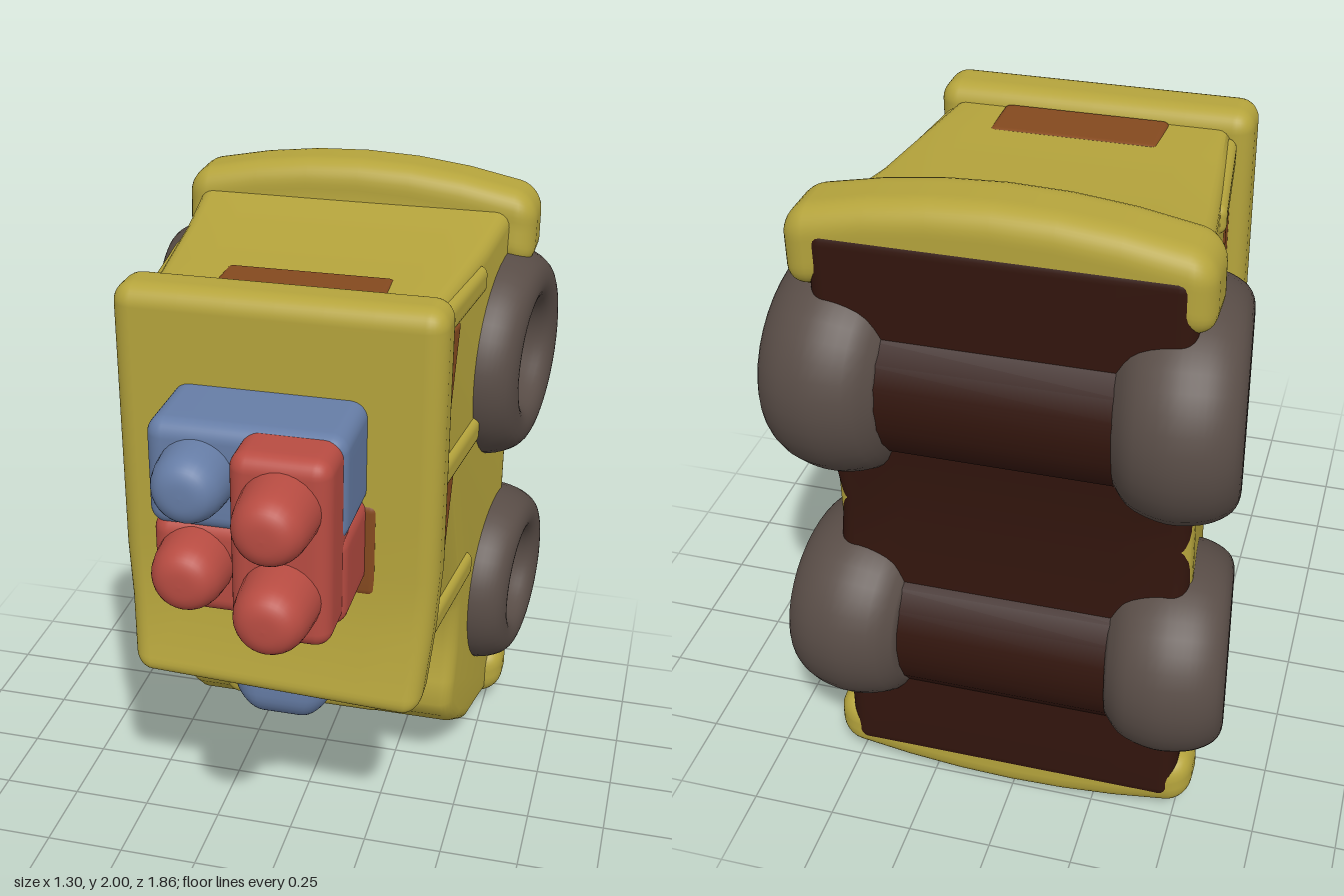
import * as THREE from 'three';
import { mergeVertices, toCreasedNormals } from 'three/addons/utils/BufferGeometryUtils.js';

const paint = (color) => new THREE.MeshStandardMaterial({ color });
const yellow = paint(0xb5a43c), rubber = paint(0x584c46), hubDark = paint(0x453533);
const brown = paint(0x32150d), rust = paint(0x84491f), red = paint(0xb84c42), blue = paint(0x667da6);

// Moves every vertex by a rule, then rebuilds smooth normals
function reshape(geo, rule) {
  geo.deleteAttribute('uv');
  geo.deleteAttribute('normal');
  const pos = geo.attributes.position, v = new THREE.Vector3();
  for (let i = 0; i < pos.count; i++) {
    v.fromBufferAttribute(pos, i);
    rule(v);
    pos.setXYZ(i, v.x, v.y, v.z);
  }
  const merged = mergeVertices(geo, 1e-4);
  merged.computeVertexNormals();
  return merged;
}

// Soft-edged box given by its limits, with an optional bend.
// Of 14 grid rows, 6 cover the flat middle and 4 each rounded edge.
function softBox([x0, x1], [y0, y1], [z0, z1], r, bend = () => {}) {
  const inner = new THREE.Vector3(x1 - x0, y1 - y0, z1 - z0).multiplyScalar(0.5).subScalar(r);
  const centre = new THREE.Vector3(x0 + x1, y0 + y1, z0 + z1).multiplyScalar(0.5);
  const flat = new THREE.Vector3(), edge = new THREE.Vector3();
  return reshape(new THREE.BoxGeometry(14, 14, 14, 14, 14, 14), (v) => {
    flat.copy(v).clampScalar(-3, 3);
    edge.subVectors(v, flat).setLength(r);
    v.copy(flat).divideScalar(3).multiply(inner).add(edge).add(centre);
    bend(v);
  });
}

// Half width of the body at depth z
const halfWidth = (z) => THREE.MathUtils.mapLinear(z, 0.2, -0.7, 0.42, 0.52);

// Body: side profile in (z, y), extruded across and widened towards the wheels
function bodyGeometry() {
  const profile = [
    [0.24, 1.83], [0.0, 1.84], [-0.3, 1.85], [-0.54, 1.88], [-0.7, 1.9], [-0.7, 0.05],
    [-0.58, 0.06], [-0.48, 0.08], [-0.35, 0.1], [-0.22, 0.18], [-0.13, 0.26], [-0.1, 0.32],
    [-0.12, 0.4], [-0.14, 0.5], [-0.14, 0.66], [-0.1, 0.75], [0.0, 0.79], [0.24, 0.8],
  ].map((p) => new THREE.Vector2(...p));
  const geo = new THREE.ExtrudeGeometry(new THREE.Shape(profile), {
    depth: 1.82, bevelThickness: 0.09, bevelSize: 0.045, bevelOffset: -0.045, bevelSegments: 5, steps: 8,
  });
  geo.translate(0, 0, -0.91).rotateY(-Math.PI / 2);
  return toCreasedNormals(reshape(geo, (v) => { v.x *= halfWidth(v.z); }), 0.9);
}

// Tyre with a dished hub, axis along +x
function wheelGeometry(r) {
  const pts = [
    [r * 0.72, -0.18], [r * 0.9, -0.13], [r, -0.04], [r, 0.04], [r * 0.95, 0.1],
    [r * 0.85, 0.145], [r * 0.7, 0.16], [r * 0.56, 0.145], [r * 0.46, 0.1], [r * 0.36, 0.06],
  ].map((p) => new THREE.Vector2(...p));
  const curve = new THREE.SplineCurve(pts).getPoints(30);
  return new THREE.LatheGeometry([new THREE.Vector2(0, -0.18), ...curve], 40).rotateZ(-Math.PI / 2);
}

export function createModel() {
  const model = new THREE.Group();
  const add = (name, geo, mat, parent = model) => {
    const mesh = new THREE.Mesh(geo, mat);
    mesh.name = name;
    parent.add(mesh);
    return mesh;
  };

  add('body', bodyGeometry(), yellow);

  // Roof slab, its lower end leaning forward
  add('roof', softBox([-0.48, 0.47], [0.62, 1.88], [0.19, 0.37], 0.06, (v) => {
    const t = THREE.MathUtils.clamp((1.0 - v.y) / 0.38, 0, 1);
    v.z += 0.07 * t * t;
    v.x *= 1 - 0.07 * t;
    v.y += 0.04 * (0.45 - v.x) * t;
  }), yellow);

  // Curved bumpers at both ends
  add('rearBumper', softBox([-0.55, 0.58], [1.77, 2.0], [-0.77, -0.54], 0.07, (v) => {
    v.z += 0.1 * Math.max(0, 1.9 - v.y) * (v.z > -0.65 ? 1 : 0);
    v.y -= 0.24 * v.x * v.x;
  }), yellow);
  add('frontBumper', softBox([-0.55, 0.56], [0.0, 0.18], [-0.77, -0.58], 0.07, (v) => {
    v.y += 0.2 * v.x * v.x;
  }), yellow);
  add('hoodLip', softBox([-0.32, 0.24], [0.26, 0.37], [-0.25, -0.07], 0.05), yellow);

  // Underside, hollowed between the axles
  add('underside', softBox([-0.51, 0.51], [0.08, 1.9], [-0.775, -0.64], 0.05, (v) => {
    v.z += 0.07 * Math.exp(-(((v.y - 0.98) / 0.12) ** 2));
  }), brown);

  // Wheels, toed in towards the roof, with fenders and axles
  const axles = [
    { name: 'rear', y: 1.42, z: -0.565, r: 0.335, stretch: 1.07 },
    { name: 'front', y: 0.575, z: -0.605, r: 0.305, stretch: 1.05 },
  ];
  for (const a of axles) {
    const axle = add(`${a.name}Axle`, new THREE.CylinderGeometry(0.25, 0.25, 0.8, 24).rotateZ(Math.PI / 2), brown);
    axle.position.set(0, a.y, -0.6);
    for (const s of [1, -1]) {
      const wheel = new THREE.Group();
      wheel.name = `${a.name}${s > 0 ? 'Left' : 'Right'}Wheel`;
      wheel.position.set(s * 0.46, a.y, a.z);
      wheel.rotation.y = s > 0 ? 0.12 * -1 : Math.PI + 0.12;
      wheel.scale.z = a.stretch;
      wheel.rotation.y *= 1;
      add('tyre', wheelGeometry(a.r), rubber, wheel);
      const hub = add('hub', new THREE.SphereGeometry(a.r * 0.46, 24, 12), hubDark, wheel);
      hub.scale.x = 0.1;
      hub.position.x = 0.06;
      model.add(wheel);
      const x = s > 0 ? [0.26, 0.55] : [-0.55, -0.26];
      add(`${a.name}Fender`, softBox(x, [a.y - a.r, a.y + a.r], [-0.7, -0.15], 0.13, (v) => {
        v.x -= s * 0.2 * (v.z + 0.7);
      }), yellow);
    }
  }

  // Side windows and the pillar ledges between them
  for (const s of [1, -1]) {
    for (const [y0, y1] of [[0.84, 1.25], [1.31, 1.72]]) {
      const win = softBox([-0.012, 0.012], [y0, y1], [0.1, 0.22], 0.01, (v) => {
        v.z -= 0.28 * (v.y - y0) * (0.22 - v.z) / 0.12;
        v.x += s * (halfWidth(v.z) - 0.006);
      });
      add('sideWindow', win, rust);
    }
    for (const y of [0.8, 1.28, 1.77]) {
      const ledge = softBox([-0.03, 0.03], [y - 0.045, y + 0.045], [-0.25, 0.2], 0.028, (v) => {
        v.x += s * (halfWidth(v.z) - 0.012);
      });
      add('windowPillar', ledge, yellow);
    }
  }
  add('rearWindow', softBox([-0.24, 0.26], [1.8, 1.843], [0.01, 0.2], 0.02), rust);
  add('windscreen', softBox([-0.36, 0.36], [0.78, 0.82], [-0.05, 0.22], 0.018), rust);

  // Engine block on the hood with its blue cap
  add('engineBlock', softBox([-0.27, 0.22], [0.4, 0.8], [-0.25, 0.08], 0.08), rust);
  add('engineCap', softBox([-0.21, 0.13], [0.39, 0.72], [0.0, 0.245], 0.09, (v) => {
    v.x = -0.04 + (v.x + 0.04) * (0.75 + 0.25 * THREE.MathUtils.smoothstep(v.y, 0.38, 0.55));
    v.y += 0.15 * (v.z - 0.1);
  }), blue);

  // Stack of toy bricks on the roof
  add('brickBase', softBox([-0.37, 0.3], [0.99, 1.3], [0.3, 0.376], 0.03), rust);
  add('lowerBrick', softBox([-0.29, 0.26], [1.03, 1.32], [0.3, 0.63], 0.05), red);
  add('upperBrick', softBox([-0.3, 0.26], [1.29, 1.61], [0.3, 0.63], 0.05), blue);
  add('outerBrick', softBox([-0.03, 0.25], [1.04, 1.6], [0.5, 0.76], 0.05), red);

  // Rounded studs on the bricks
  const studs = [
    [0.115, 1.455, 0.93, red], [0.115, 1.19, 0.93, red],
    [-0.155, 1.46, 0.77, blue], [-0.165, 1.19, 0.77, red],
  ];
  for (const [x, y, tip, mat] of studs) {
    const profile = new THREE.SplineCurve([
      [0.115, -0.25], [0.105, -0.09], [0.085, -0.03], [0.05, -0.005], [0, 0],
    ].map((p) => new THREE.Vector2(...p))).getPoints(20);
    const stud = add('brickStud', new THREE.LatheGeometry(profile, 28).rotateX(Math.PI / 2), mat);
    stud.position.set(x, y, tip);
  }

  return model;
}
